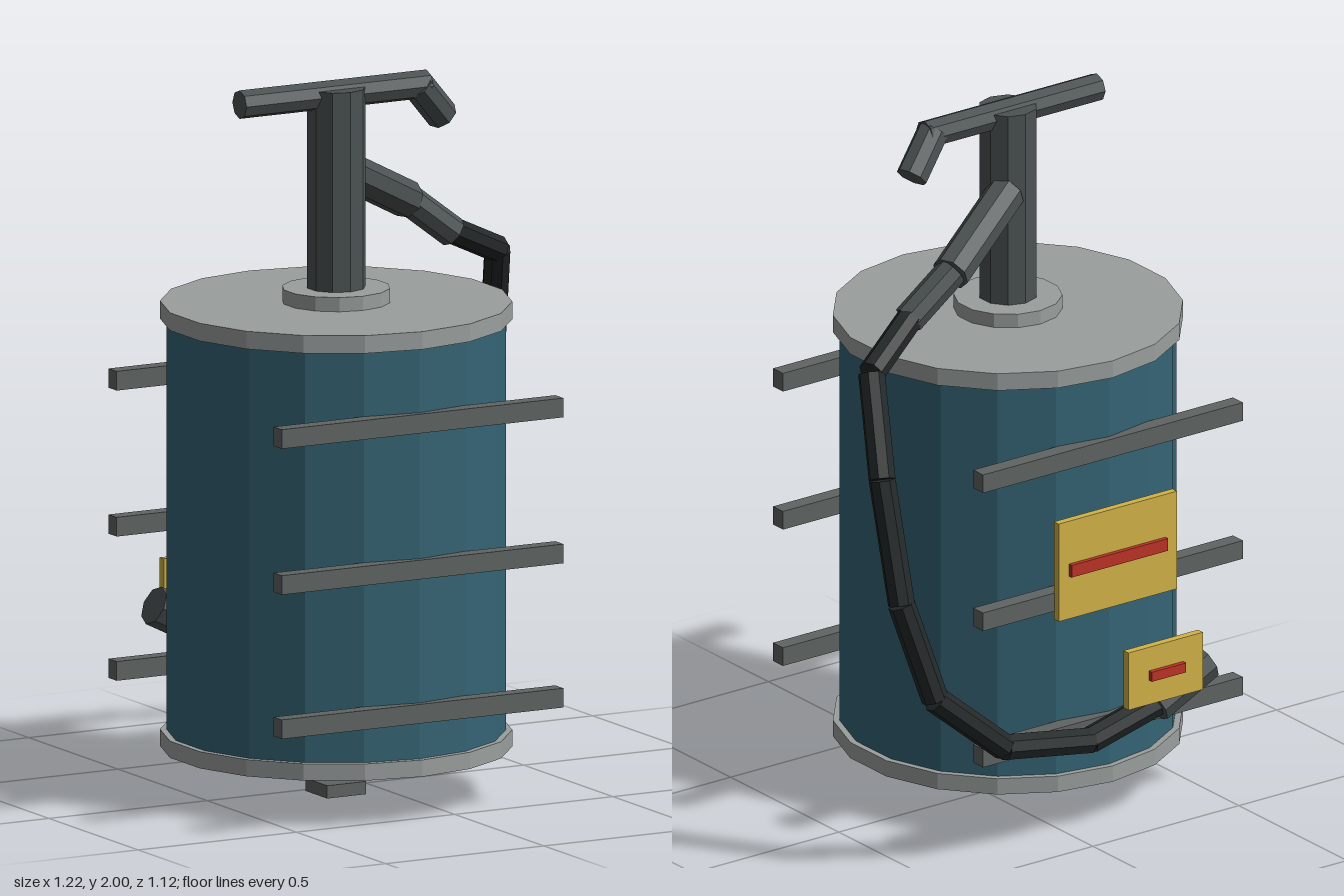
import * as THREE from 'three';

const material = (color) => new THREE.MeshStandardMaterial({ color, flatShading: true });

export function createModel() {
  const group = new THREE.Group();
  const teal = material(0x356475), cap = material(0x9aa09f), iron = material(0x4c5252);
  const slatGrey = material(0x5f6463), rubber = material(0x232828);
  const yellow = material(0xd2b348), red = material(0xbd3327);
  const CX = -0.135, CZ = 0.075; // axis of the drum

  function add(name, geometry, mat, x, y, z) {
    const mesh = new THREE.Mesh(geometry, mat);
    mesh.name = name;
    mesh.position.set(x, y, z);
    group.add(mesh);
    return mesh;
  }

  // upright cylinder on the drum axis between two heights
  function upright(name, r, y0, y1, sides, mat) {
    add(name, new THREE.CylinderGeometry(r, r, y1 - y0, sides), mat, CX, (y0 + y1) / 2, CZ);
  }

  // box given by its extents
  function block(name, [x0, x1], [y0, y1], [z0, z1], mat) {
    add(name, new THREE.BoxGeometry(x1 - x0, y1 - y0, z1 - z0), mat,
      (x0 + x1) / 2, (y0 + y1) / 2, (z0 + z1) / 2);
  }

  // straight round rod from point a to point b
  function rod(name, a, b, r, mat, sides = 8) {
    const start = new THREE.Vector3(...a), end = new THREE.Vector3(...b);
    const dir = end.clone().sub(start);
    const mid = start.clone().add(end).multiplyScalar(0.5);
    const mesh = add(name, new THREE.CylinderGeometry(r, r, dir.length(), sides), mat, mid.x, mid.y, mid.z);
    mesh.quaternion.setFromUnitVectors(new THREE.Vector3(0, 1, 0), dir.normalize());
  }

  // drum with its rims and the pump column
  upright('drum', 0.467, 0.135, 1.36, 18, teal);
  upright('bottomRim', 0.485, 0.13, 0.177, 18, cap);
  upright('topRim', 0.485, 1.33, 1.38, 18, cap);
  upright('collar', 0.15, 1.38, 1.42, 14, cap);
  upright('pumpColumn', 0.082, 1.42, 1.98, 10, iron);

  // foot below the drum
  block('foot', [-0.198, -0.075], [0, 0.036], [0.015, 0.137], slatGrey);

  // three slats on the front and on the back
  for (const y of [0.307, 0.712, 1.122]) {
    for (const [name, z] of [['frontSlat', 0.537], ['backSlat', -0.388]]) {
      block(name, [-0.58, 0.31], [y - 0.027, y + 0.027], [z - 0.023, z + 0.023], slatGrey);
    }
  }

  // crank handle with a bent grip
  rod('handleBar', [-0.44, 1.962, 0.075], [0.15, 1.962, 0.075], 0.04, iron);
  rod('handleGrip', [0.12, 1.965, 0.077], [0.217, 1.862, 0.045], 0.045, iron);

  // outlet pipe leaving the column
  rod('outletPipe', [-0.1, 1.745, 0.035], [0.178, 1.607, -0.082], 0.054, iron);
  rod('outletElbow', [0.17, 1.615, -0.08], [0.318, 1.502, -0.075], 0.044, iron);

  // hose running round the side to the back
  const hose = [
    [0.30, 1.515, -0.073], [0.51, 1.42, -0.165], [0.57, 1.16, -0.295], [0.572, 0.82, -0.387],
    [0.50, 0.54, -0.445], [0.285, 0.355, -0.475], [0.0, 0.31, -0.485], [-0.24, 0.37, -0.485],
  ];
  for (let i = 1; i < hose.length; i++) rod('hoseSegment', hose[i - 1], hose[i], 0.038, rubber);
  rod('nozzle', [-0.22, 0.365, -0.485], [-0.395, 0.452, -0.485], 0.056, iron);

  // yellow plates with red stripes
  block('largePlate', [-0.34, 0.065], [0.66, 0.95], [-0.43, -0.408], yellow);
  block('largeStripe', [-0.3, 0.03], [0.787, 0.823], [-0.443, -0.425], red);
  block('smallPlate', [-0.34, -0.085], [0.4, 0.57], [-0.55, -0.527], yellow);
  block('smallStripe', [-0.272, -0.155], [0.472, 0.5], [-0.564, -0.545], red);

  return group;
}
